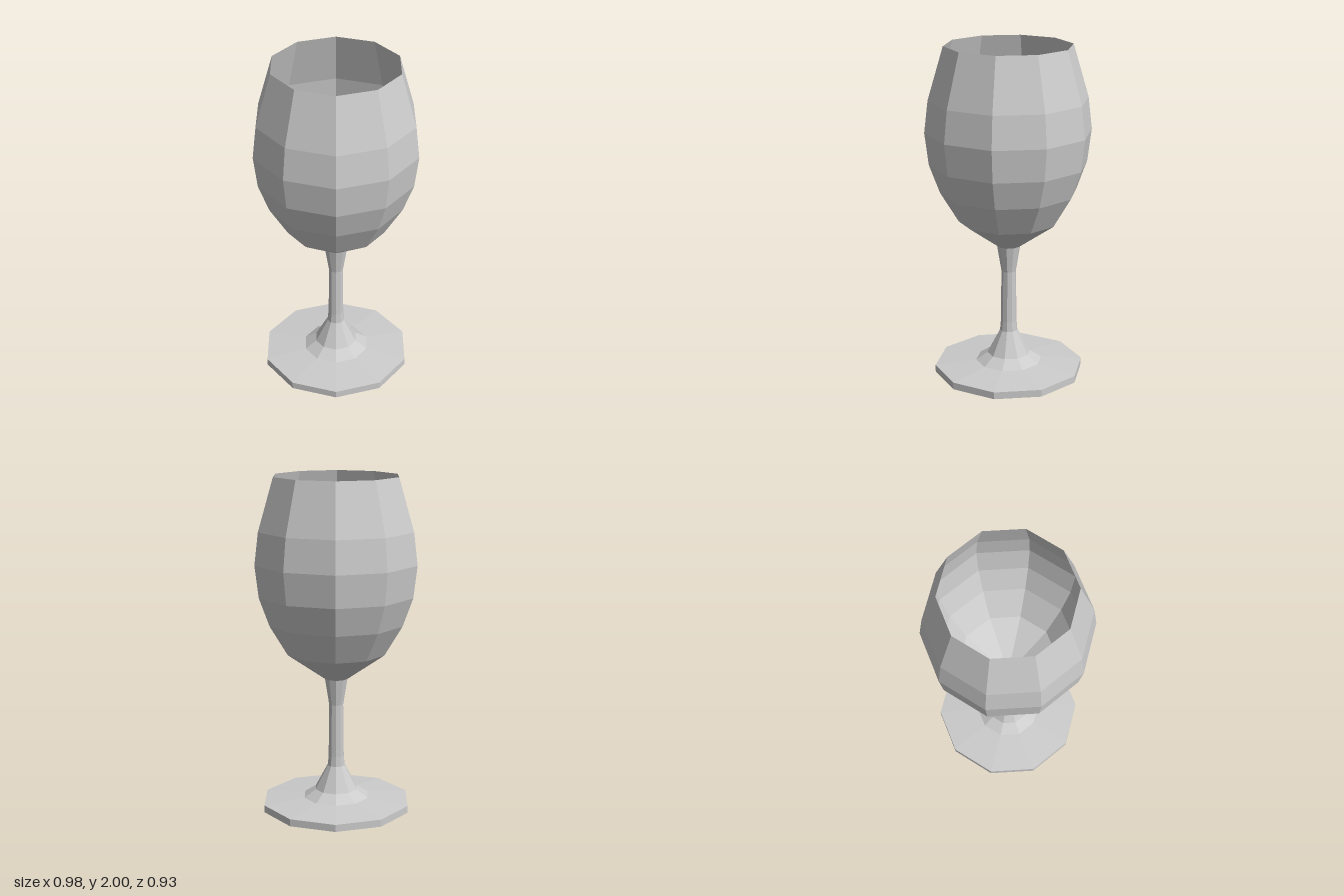
import * as THREE from 'three';

const SIDES = 10;

// Ten-sided thin shell turned around the y axis, with a corner on +x
function turned(name, profile, material) {
  const points = profile.map(([r, y]) => new THREE.Vector2(r, y));
  const mesh = new THREE.Mesh(new THREE.LatheGeometry(points, SIDES, Math.PI / 2), material);
  mesh.name = name;
  return mesh;
}

export function createModel() {
  const glass = new THREE.MeshStandardMaterial({
    color: 0xcccccc, flatShading: true, side: THREE.DoubleSide,
  });
  const group = new THREE.Group();
  group.name = 'wineGlass';

  // Flat foot: underside, rim and shallow top
  group.add(turned('foot', [[0, 0], [0.21, 0], [0.45, 0.003], [0.45, 0.046], [0.2, 0.068]], glass));

  // Hollow stem, flared at both ends and open into the bowl
  group.add(turned('stem', [
    [0.2, 0.068], [0.13, 0.115], [0.053, 0.26], [0.048, 0.32], [0.044, 0.64], [0.07, 0.8],
  ], glass));

  // Open bowl, widest at mid height and drawn in at the rim
  group.add(turned('bowl', [
    [0.07, 0.8], [0.297, 0.96], [0.405, 1.14], [0.467, 1.31],
    [0.49, 1.5], [0.467, 1.69], [0.375, 2],
  ], glass));

  return group;
}
